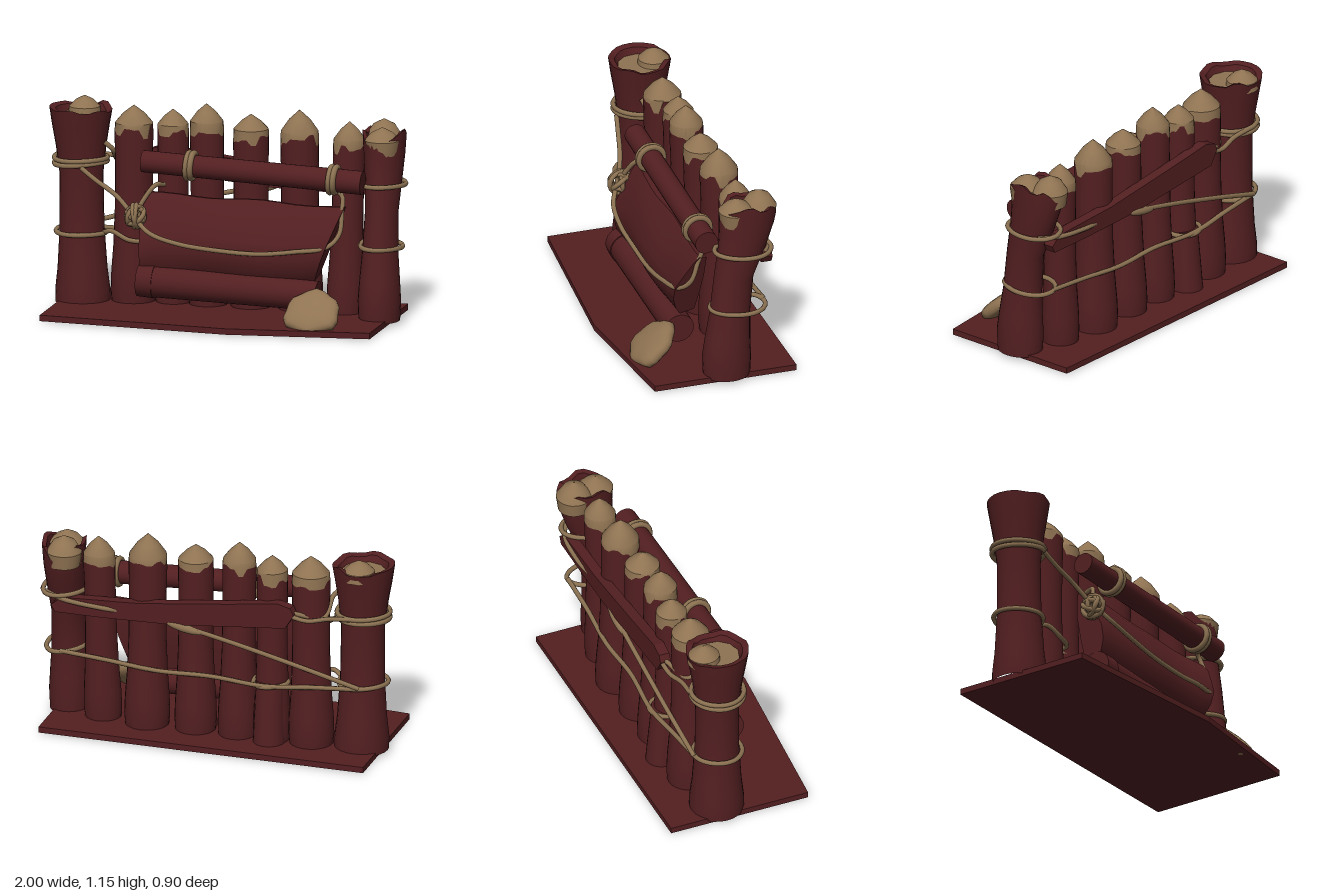
import * as THREE from 'three';
import { toCreasedNormals } from 'three/addons/utils/BufferGeometryUtils.js';

const V = (x, y, z) => new THREE.Vector3(x, y, z);
const SIDES = 24;

export function createModel() {
  const model = new THREE.Group();
  const redWood = new THREE.MeshStandardMaterial({ color: 0x531f21 });
  redWood.name = 'red wood';
  const paleWood = new THREE.MeshStandardMaterial({ color: 0x8f7352 });
  paleWood.name = 'pale wood';
  const ropeTan = new THREE.MeshStandardMaterial({ color: 0x8b7151 });
  ropeTan.name = 'rope tan';

  let seed = 7;
  const rand = () => (seed = (seed * 16807) % 2147483647) / 2147483647;

  const add = (name, geometry, material, parent = model) => {
    const mesh = new THREE.Mesh(geometry, material);
    mesh.name = name;
    parent.add(mesh);
    return mesh;
  };
  const addGroup = (name) => {
    const group = new THREE.Group();
    group.name = name;
    model.add(group);
    return group;
  };

  // Skin over rings; each ring is a function of column index giving a point
  const loft = (rings) => {
    const pos = [], index = [];
    rings.forEach((ring) => {
      for (let j = 0; j < SIDES; j++) pos.push(...ring(j).toArray());
    });
    for (let i = 0; i < rings.length - 1; i++) {
      for (let j = 0; j < SIDES; j++) {
        const k = (j + 1) % SIDES;
        const a = i * SIDES + j, b = i * SIDES + k, c = a + SIDES, d = b + SIDES;
        index.push(a, c, b, b, c, d);
      }
    }
    const g = new THREE.BufferGeometry();
    g.setAttribute('position', new THREE.Float32BufferAttribute(pos, 3));
    g.setIndex(index);
    return toCreasedNormals(g, 0.6);
  };
  const circlePoint = (j, x, y, z, rx, rz = rx) => {
    const a = (j / SIDES) * Math.PI * 2;
    return V(x + Math.cos(a) * rx, y, z + Math.sin(a) * rz);
  };
  const jagged = (low, high) => {
    const steps = Array.from({ length: SIDES / 2 }, () => low + rand() * (high - low));
    return (j) => steps[Math.floor(j / 2)];
  };

  // Sharpened post: red trunk with a chipped edge, pale pointed tip
  const post = (name, bx, bz, tx, tz, r, top, point = 0.1) => {
    const group = addGroup(name);
    const shoulder = top - point;
    const chip = jagged(0.0, 0.08);
    const at = (j, y, s) => {
      const t = y / shoulder;
      return circlePoint(j, bx + (tx - bx) * t, y, bz + (tz - bz) * t, r * s);
    };
    const trunk = [[0.03, 1.1], [0.1, 1.16], [0.2, 1.13], [0.35, 1.03], [0.55, 0.96], [0.8, 0.95]];
    const edge = (j) => at(j, shoulder - chip(j), 0.98);
    add('trunk', loft([...trunk.map(([y, s]) => (j) => at(j, y, s)), edge]), redWood, group);
    add('tip', loft([edge, (j) => at(j, shoulder + 0.004, 0.95), (j) => at(j, shoulder + point * 0.55, 0.55),
      (j) => at(j, top, 0.01)]), paleWood, group);
  };
  post('secondPost', -0.545, -0.18, -0.54, -0.17, 0.108, 1.13);
  post('thirdPost', -0.325, -0.2, -0.325, -0.19, 0.088, 1.115, 0.085);
  post('fourthPost', -0.125, -0.19, -0.13, -0.17, 0.095, 1.16);
  post('fifthPost', 0.115, -0.19, 0.12, -0.17, 0.1, 1.115, 0.085);
  post('sixthPost', 0.39, -0.2, 0.39, -0.185, 0.108, 1.15, 0.12);
  post('seventhPost', 0.65, -0.17, 0.67, -0.185, 0.09, 1.1);

  // Broad hollow post with a splintered rim
  const hollow = addGroup('hollowPost');
  const hx = -0.83, hz = -0.135;
  const splinter = jagged(0, 0.03);
  const shell = [[0.03, 0.15], [0.1, 0.15], [0.22, 0.136], [0.45, 0.122], [0.75, 0.12], [0.9, 0.138], [1.02, 0.158]];
  add('shell', loft([
    ...shell.map(([y, r]) => (j) => circlePoint(j, hx + 0.012 * (1 - y), y, hz, r)),
    (j) => circlePoint(j, hx, 1.125 - splinter(j), hz, 0.172),
    (j) => circlePoint(j, hx, 1.115 - splinter(j), hz, 0.138),
    (j) => circlePoint(j, hx, 1.04, hz, 0.112),
  ]), redWood, hollow);
  add('heartwood', new THREE.CylinderGeometry(0.122, 0.115, 0.03, 11), paleWood, hollow)
    .position.set(hx, 1.055, hz);
  add('innerTip', loft([[1.05, 0.09], [1.1, 0.085], [1.135, 0.05], [1.16, 0.002]]
    .map(([y, r]) => (j) => circlePoint(j, hx, y, -0.215, r))), paleWood, hollow);

  // Right end post: leans back, widens upward, two points inside a split rim
  const forked = addGroup('forkedPost');
  const stem = [[0.03, 0.87, -0.07, 0.112, 0.13], [0.14, 0.87, -0.07, 0.117, 0.136], [0.25, 0.87, -0.075, 0.11, 0.125],
    [0.4, 0.87, -0.088, 0.098, 0.112], [0.62, 0.872, -0.11, 0.09, 0.11], [0.8, 0.87, -0.16, 0.1, 0.135],
    [0.93, 0.868, -0.186, 0.11, 0.153]];
  const notch = jagged(0, 0.035);
  const rimY = (j) => 1.075 - notch(j) - 0.075 * Math.abs(Math.sin((j / SIDES) * Math.PI * 2)) ** 4;
  add('stem', loft([
    ...stem.map(([y, x, z, rx, rz]) => (j) => circlePoint(j, x, y, z, rx, rz)),
    (j) => circlePoint(j, 0.867, rimY(j), -0.191, 0.118, 0.16),
    (j) => circlePoint(j, 0.867, rimY(j) - 0.01, -0.191, 0.095, 0.135),
    (j) => circlePoint(j, 0.867, 0.95, -0.191, 0.09, 0.13),
  ]), redWood, forked);
  for (const [x, z, top] of [[0.872, -0.125, 1.09], [0.845, -0.263, 1.11]]) {
    add('tip', loft([[0.94, 0.088], [1.02, 0.098], [top - 0.03, 0.06], [top, 0.002]]
      .map(([y, r]) => (j) => circlePoint(j, x, y, z, r))), paleWood, forked);
  }

  // Five-sided ground slab
  const slab = new THREE.Shape([[-0.93, 0.452], [-0.93, -0.36], [0.14, -0.447], [0.93, -0.36], [0.93, 0.452]]
    .map(([x, y]) => new THREE.Vector2(x, y)));
  const ground = new THREE.ExtrudeGeometry(slab, { depth: 0.033, bevelEnabled: false });
  ground.rotateX(-Math.PI / 2);
  add('groundSlab', ground, redWood).position.y = 0.012;

  // Round beams
  const beam = (name, a, b, ra, rb) => {
    const mesh = add(name, new THREE.CylinderGeometry(rb, ra, a.distanceTo(b), SIDES), redWood);
    mesh.position.copy(a).lerp(b, 0.5);
    mesh.quaternion.setFromUnitVectors(V(0, 1, 0), b.clone().sub(a).normalize());
  };
  beam('frontRail', V(-0.44, 0.86, 0.02), V(0.8, 0.805, 0.02), 0.06, 0.065);
  beam('lowerRoll', V(-0.42, 0.215, 0.1), V(0.57, 0.18, 0.1), 0.088, 0.082);
  beam('rollCollar', V(-0.44, 0.217, 0.1), V(-0.35, 0.213, 0.1), 0.09, 0.093);
  beam('backStub', V(-0.325, 0.03, -0.25), V(-0.325, 0.39, -0.225), 0.088, 0.078);

  // Bulging hide panel, skewed at its right edge
  const section = [[-0.02, 0.685], [0.02, 0.69], [0.05, 0.65], [0.09, 0.57], [0.14, 0.47], [0.147, 0.38],
    [0.125, 0.3], [0.1, 0.26], [0.02, 0.28], [0.0, 0.4], [-0.02, 0.55]];
  const panel = new THREE.ExtrudeGeometry(
    new THREE.Shape(section.map(([z, y]) => new THREE.Vector2(z, y))), { depth: 1, steps: 12, bevelEnabled: false });
  const pp = panel.attributes.position;
  for (let i = 0; i < pp.count; i++) {
    const z = pp.getX(i), y = pp.getY(i), t = 1 - pp.getZ(i);
    const up = (y - 0.29) / 0.4;
    pp.setXYZ(i, -0.43 + t * (0.99 + 0.14 * up), y - 0.03 * t * up + 0.006 * Math.sin(t * 14) * up,
      z + 0.008 * Math.sin(t * 9 + y * 8));
  }
  add('hidePanel', toCreasedNormals(panel, 0.7), redWood);

  // Brace across the back, tapering toward the left end
  const brace = new THREE.Shape([[-0.49, 0.83], [-0.44, 0.75], [0.2, 0.69], [0.6, 0.68], [0.88, 0.68],
    [0.9, 0.72], [0.84, 0.77], [0.4, 0.79], [-0.1, 0.85], [-0.4, 0.89], [-0.47, 0.87]]
    .map(([x, y]) => new THREE.Vector2(x, y)));
  add('backBrace', new THREE.ExtrudeGeometry(brace, { depth: 0.06, bevelEnabled: false }), redWood)
    .position.z = -0.325;

  // Ropes
  const rope = (name, points, closed = false, r = 0.0135) =>
    add(name, new THREE.TubeGeometry(new THREE.CatmullRomCurve3(points.map((p) => V(...p)), closed),
      points.length * 6, r, 7, closed), ropeTan);
  const ring = (name, x, y, z, rx, rz, tilt = 0) => {
    const pts = [];
    for (let i = 0; i < 12; i++) {
      const a = (i / 12) * Math.PI * 2;
      pts.push([x + Math.cos(a) * rx, y + Math.cos(a) * tilt + Math.sin(a * 2) * 0.004, z + Math.sin(a) * rz]);
    }
    rope(name, pts, true);
  };
  ring('hollowPostUpperRope', hx, 0.832, hz, 0.145, 0.145);
  ring('hollowPostUpperRope', hx, 0.808, hz, 0.145, 0.145, 0.006);
  ring('hollowPostLowerRope', hx, 0.42, hz, 0.135, 0.135, -0.005);
  ring('forkedPostUpperRope', 0.865, 0.775, -0.165, 0.122, 0.158, -0.005);
  ring('forkedPostLowerRope', 0.865, 0.432, -0.135, 0.112, 0.155, -0.006);
  ring('thirdPostRope', -0.325, 0.385, -0.22, 0.095, 0.095);

  // Lashings around the front rail
  for (const [x, y] of [[-0.17, 0.85], [0.635, 0.815]]) {
    for (const dx of [-0.012, 0.012]) {
      const pts = [];
      for (let i = 0; i < 10; i++) {
        const a = (i / 10) * Math.PI * 2;
        pts.push([x + dx + Math.sin(a) * 0.004, y + Math.sin(a) * 0.07, 0.02 + Math.cos(a) * 0.07]);
      }
      rope('railLashing', pts, true, 0.017);
    }
  }

  // Knot of crossed loops
  const knot = addGroup('knot');
  knot.position.set(-0.46, 0.57, 0.1);
  for (let i = 0; i < 7; i++) {
    const loop = add('knotLoop', new THREE.TorusGeometry(0.05 + 0.006 * (i % 3), 0.014, 7, 18), ropeTan, knot);
    loop.rotation.set(i * 0.55, i * 0.9, i * 0.4);
  }

  rope('knotToHollowPost', [[-0.79, 0.8, 0.01], [-0.7, 0.74, 0.03], [-0.58, 0.67, 0.06], [-0.48, 0.58, 0.1]]);
  rope('knotToRail', [[-0.46, 0.58, 0.1], [-0.42, 0.66, 0.07], [-0.37, 0.73, 0.03], [-0.34, 0.72, -0.06]]);
  rope('saggingRope', [[-0.46, 0.56, 0.12], [-0.36, 0.49, 0.17], [-0.2, 0.445, 0.185], [0, 0.42, 0.18],
    [0.25, 0.41, 0.175], [0.45, 0.43, 0.16], [0.62, 0.455, 0.12], [0.68, 0.52, 0.07], [0.685, 0.64, 0.03],
    [0.68, 0.72, 0], [0.64, 0.76, 0]]);
  rope('secondPostRope', [[-0.7, 0.42, -0.12], [-0.64, 0.44, -0.08], [-0.54, 0.4, -0.06], [-0.44, 0.39, -0.09],
    [-0.42, 0.39, -0.17]]);
  rope('leftGapRope', [[-0.69, 0.93, -0.1], [-0.65, 0.89, -0.12], [-0.63, 0.8, -0.22], [-0.48, 0.83, -0.29]]);
  rope('backLowerRope', [[0.86, 0.44, -0.29], [0.6, 0.42, -0.29], [0.3, 0.4, -0.305], [0, 0.4, -0.29],
    [-0.32, 0.39, -0.31], [-0.6, 0.41, -0.29], [-0.83, 0.42, -0.27]]);
  rope('backDiagonalRope', [[0.95, 0.77, -0.26], [0.84, 0.76, -0.32], [0.62, 0.74, -0.33], [0.45, 0.72, -0.3],
    [0.2, 0.69, -0.31], [-0.1, 0.63, -0.31], [-0.5, 0.53, -0.3], [-0.85, 0.43, -0.28]]);
  rope('backHollowPostRope', [[-0.46, 0.82, -0.31], [-0.56, 0.8, -0.3], [-0.68, 0.82, -0.28], [-0.8, 0.83, -0.28]]);
  // Frayed swelling where the diagonal rope leaves the brace
  const fray = add('ropeFray', new THREE.SphereGeometry(1, 12, 8), ropeTan);
  fray.scale.set(0.11, 0.024, 0.022);
  fray.position.set(0.14, 0.675, -0.315);
  fray.rotation.z = 0.2;

  // Flat stone leaning at the front
  const stone = new THREE.SphereGeometry(1, 20, 12);
  const sp = stone.attributes.position;
  for (let i = 0; i < sp.count; i++) {
    const x = sp.getX(i), y = sp.getY(i), z = sp.getZ(i);
    const a = Math.atan2(z, x);
    const s = 0.95 + 0.05 * Math.cos(a * 6 + 3) + 0.04 * Math.sin(a * 3);
    sp.setXYZ(i, x * s * 0.162, Math.sign(y) * Math.pow(Math.abs(y), 0.7) * 0.05, z * s * 0.155);
  }
  stone.computeVertexNormals();
  const slabStone = add('leaningStone', stone, paleWood);
  slabStone.position.set(0.58, 0.118, 0.262);
  slabStone.rotation.x = 0.72;

  return model;
}
